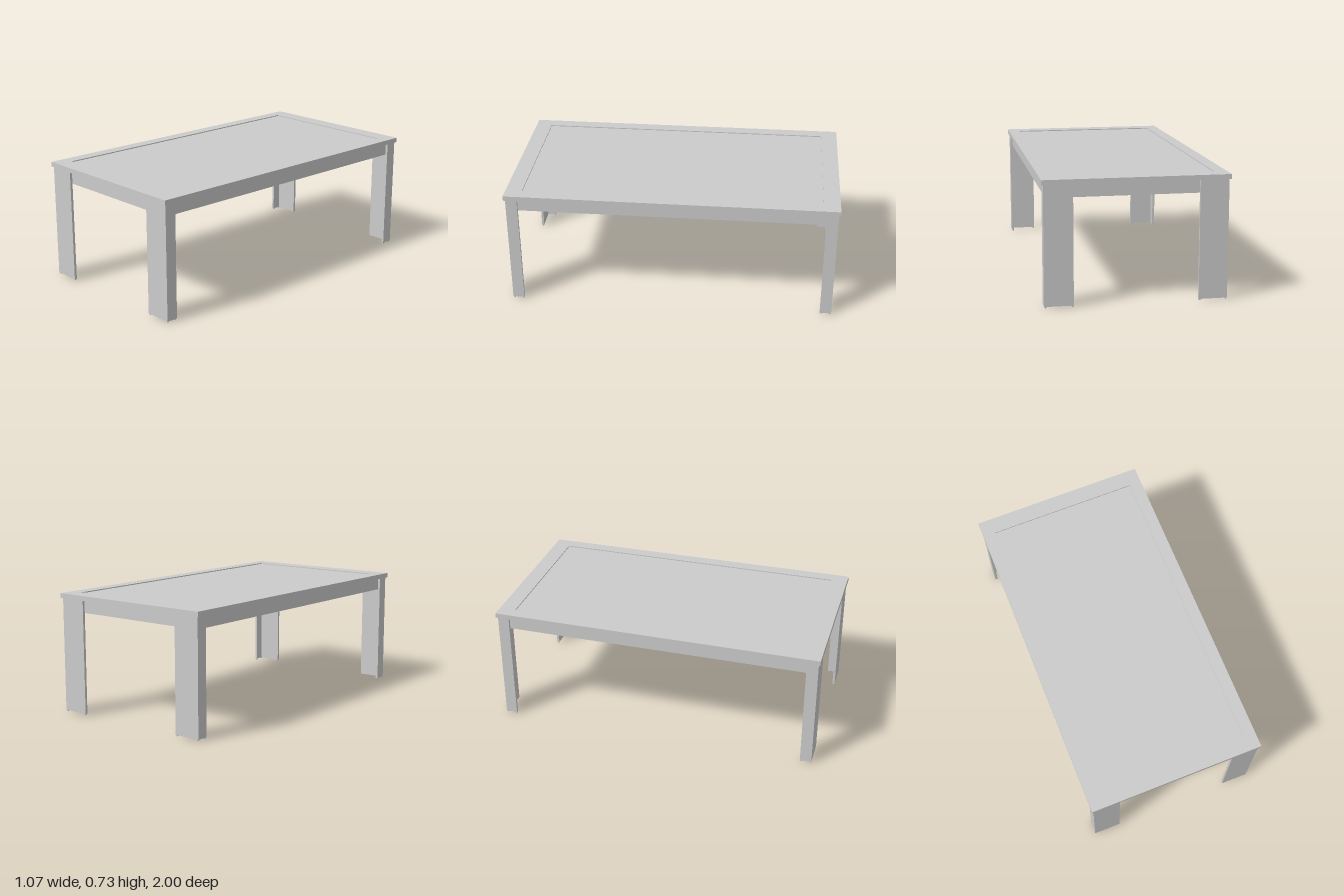
import * as THREE from 'three';

const material = new THREE.MeshStandardMaterial({ color: 0xcccccc });

function addBox(parent, name, [w, h, d], [x, y, z]) {
  const mesh = new THREE.Mesh(new THREE.BoxGeometry(w, h, d), material);
  mesh.name = name;
  mesh.position.set(x, y, z);
  parent.add(mesh);
}

// Upright extrusion of an x/z outline, from y0 to y0 + height
function addUpright(parent, name, shape, y0, height) {
  const geometry = new THREE.ExtrudeGeometry(shape, { depth: height, bevelEnabled: false });
  geometry.rotateX(-Math.PI / 2);
  const mesh = new THREE.Mesh(geometry, material);
  mesh.name = name;
  mesh.position.y = y0;
  parent.add(mesh);
}

function rectangle(Type, hx, hz) {
  return new Type([[-hx, -hz], [hx, -hz], [hx, hz], [-hx, hz]].map(p => new THREE.Vector2(...p)));
}

export function createModel() {
  const table = new THREE.Group();
  table.name = 'table';

  const topX = 0.537, topZ = 1, topY = 0.7, topH = 0.029;
  const panelX = 0.462, panelZ = 0.9;
  const legX = 0.527, legZ = 0.99, legInX = 0.36, legInZ = 0.92;
  const board = 0.015, foot = 0.008;

  // Table top: a border frame around a slightly sunken panel
  const frame = rectangle(THREE.Shape, topX, topZ);
  frame.holes.push(rectangle(THREE.Path, panelX, panelZ));
  addUpright(table, 'topFrame', frame, topY, topH);
  addBox(table, 'topPanel', [panelX * 2, topH - 0.006, panelZ * 2], [0, topY + (topH - 0.006) / 2, 0]);

  // Apron: a rectangular ring fitting inside the angled legs
  const ax = legX - board, az = legZ - board;
  const apron = rectangle(THREE.Shape, ax, az);
  apron.holes.push(rectangle(THREE.Path, ax - board, az - board));
  addUpright(table, 'apron', apron, 0.624, topY - 0.624);

  // Four L-section legs with small glides under the corner and both flange ends
  const glide = new THREE.CylinderGeometry(0.006, 0.005, foot, 12);
  for (const sx of [-1, 1]) {
    for (const sz of [-1, 1]) {
      const leg = new THREE.Group();
      leg.name = `${sz > 0 ? 'front' : 'back'}${sx > 0 ? 'Left' : 'Right'}Leg`;
      const section = new THREE.Shape([
        [legInX, legZ], [legX, legZ], [legX, legInZ],
        [ax, legInZ], [ax, az], [legInX, az],
      ].map(([x, z]) => new THREE.Vector2(x * sx, -z * sz)));
      addUpright(leg, 'legBoard', section, foot, topY - foot);

      const mid = board / 2;
      for (const [x, z] of [[legInX + mid, legZ - mid], [legX - mid, legZ - mid], [legX - mid, legInZ + mid]]) {
        const mesh = new THREE.Mesh(glide, material);
        mesh.name = 'footGlide';
        mesh.position.set(x * sx, foot / 2, z * sz);
        leg.add(mesh);
      }
      table.add(leg);
    }
  }
  return table;
}
